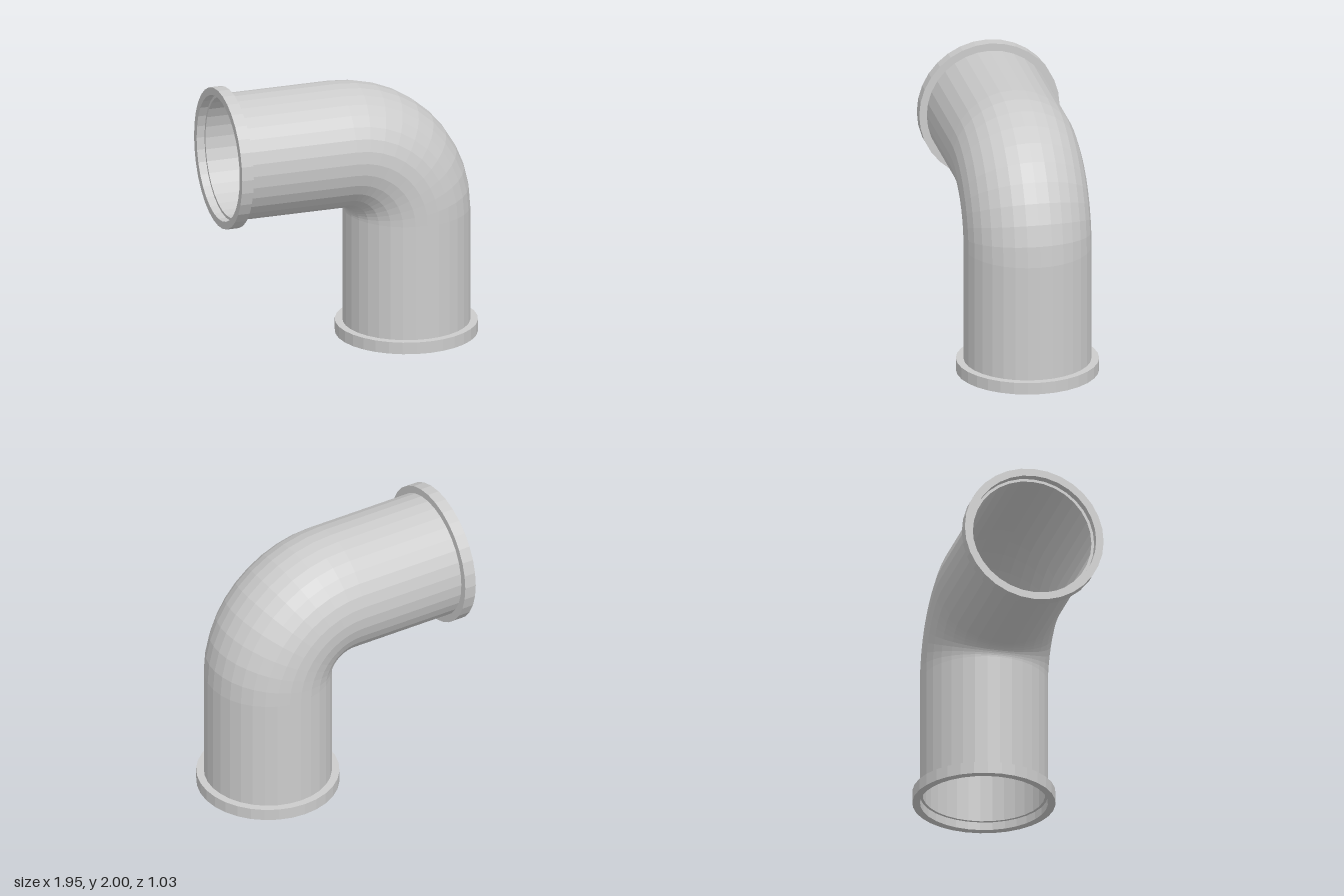
import * as THREE from 'three';

const SIDES = 32, BEND_STEPS = 10;
const PIPE_R = 0.46, BORE_R = 0.44, FLANGE_R = 0.515, FLANGE_H = 0.088;
const RECESS = 0.06;                       // pipe ends sit inside the flanges
const END_X = -0.975, AXIS_X = 0.46, AXIS_Y = 1.485, BEND_R = 0.535;

// Hollow elbow: rings run along the outside, then back along the bore
function elbowGeometry() {
  const stations = [{ x: END_X + RECESS, y: AXIS_Y, a: Math.PI / 2 }];
  for (let i = 0; i <= BEND_STEPS; i++) {
    const a = (Math.PI / 2) * (1 - i / BEND_STEPS);
    stations.push({
      x: AXIS_X - BEND_R + BEND_R * Math.cos(a),
      y: AXIS_Y - BEND_R + BEND_R * Math.sin(a),
      a,
    });
  }
  stations.push({ x: AXIS_X, y: RECESS, a: 0 });

  const rings = [
    ...stations.map((s) => ({ ...s, r: PIPE_R })),
    ...stations.map((s) => ({ ...s, r: BORE_R })).reverse(),
  ];
  const positions = [], index = [];
  rings.forEach(({ x, y, a, r }, i) => {
    const next = (i + 1) % rings.length;
    for (let j = 0; j < SIDES; j++) {
      const t = (j / SIDES) * Math.PI * 2, k = (j + 1) % SIDES;
      const u = r * Math.cos(t);
      positions.push(x + u * Math.cos(a), y + u * Math.sin(a), r * Math.sin(t));
      const p = i * SIDES + j, q = i * SIDES + k;
      const s = next * SIDES + j, v = next * SIDES + k;
      index.push(p, q, s, q, v, s);
    }
  });
  const geometry = new THREE.BufferGeometry();
  geometry.setAttribute('position', new THREE.Float32BufferAttribute(positions, 3));
  geometry.setIndex(index);
  geometry.computeVertexNormals();
  return geometry;
}

// Rectangular ring around a pipe end
function flangeGeometry() {
  const profile = [
    [PIPE_R, 0], [FLANGE_R, 0], [FLANGE_R, FLANGE_H], [PIPE_R, FLANGE_H], [PIPE_R, 0],
  ].map(([x, y]) => new THREE.Vector2(x, y));
  return new THREE.LatheGeometry(profile, SIDES);
}

export function createModel() {
  const group = new THREE.Group();
  group.name = 'pipeElbow';
  const material = new THREE.MeshStandardMaterial({ color: 0xcccccc, flatShading: true });

  const add = (name, geometry) => {
    const mesh = new THREE.Mesh(geometry, material);
    mesh.name = name;
    group.add(mesh);
    return mesh;
  };

  add('elbowPipe', elbowGeometry());

  const flange = flangeGeometry();
  add('bottomFlange', flange).position.set(AXIS_X, 0, 0);

  const side = add('sideFlange', flange);
  side.position.set(END_X, AXIS_Y, 0);
  side.rotation.z = -Math.PI / 2;

  return group;
}
